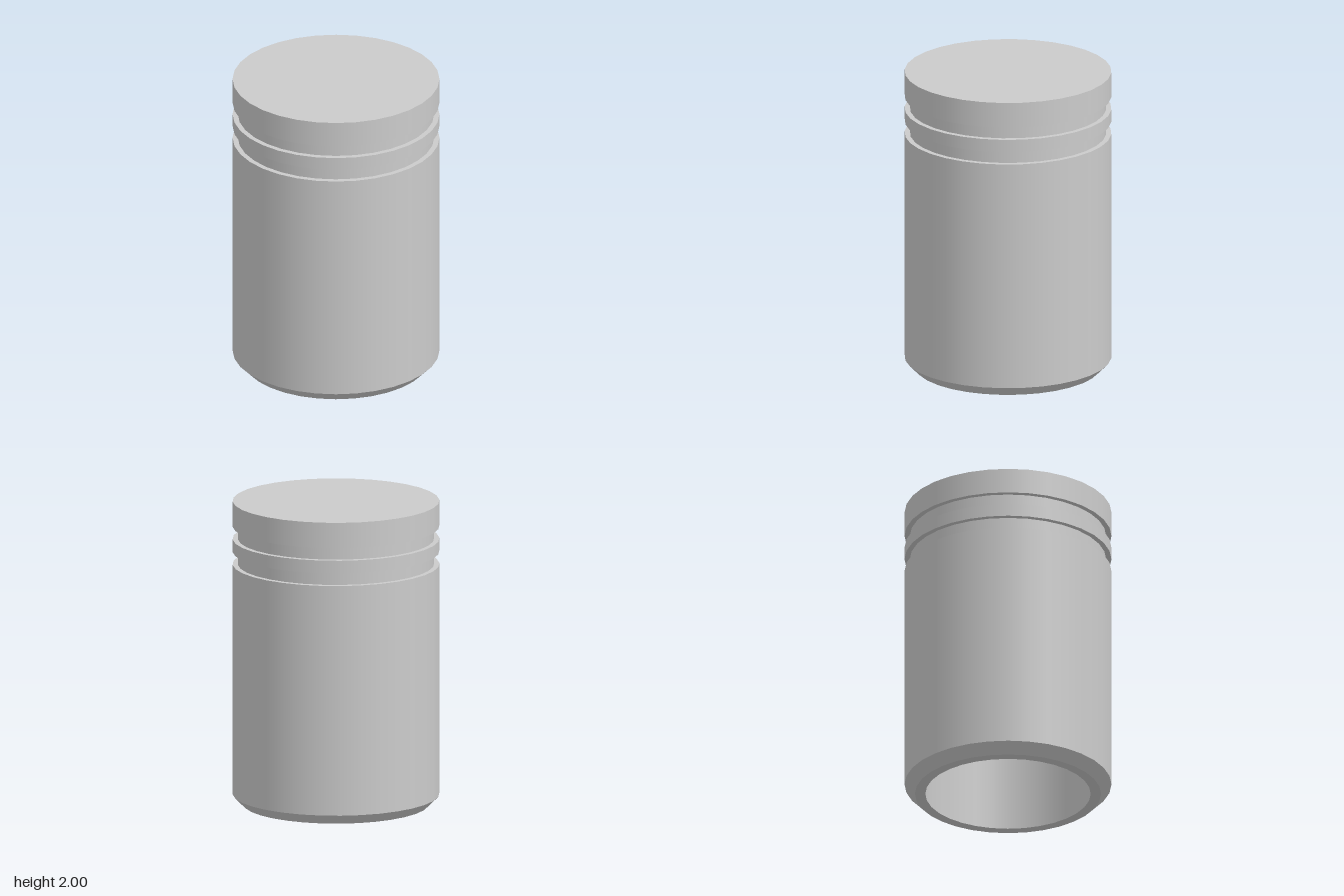
import * as THREE from 'three';

const SIDES = 32;
const R = 0.667, GROOVE = 0.633, BORE = 0.533, RIM = 0.6;

export function createModel() {
  const group = new THREE.Group();
  group.name = 'piston';
  const material = new THREE.MeshStandardMaterial({ color: 0xcccccc });

  // Lathes each straight stretch of a profile separately, so its corners stay sharp
  function addPart(name, profile) {
    const part = new THREE.Group();
    part.name = name;
    const points = profile.map(([r, y]) => new THREE.Vector2(r, y));
    for (let i = 0; i < points.length - 1; i++) {
      const mesh = new THREE.Mesh(new THREE.LatheGeometry([points[i], points[i + 1]], SIDES), material);
      mesh.name = `${name}Surface${i + 1}`;
      part.add(mesh);
    }
    group.add(part);
  }

  // Hollow inside: ceiling and bore wall, open at the bottom
  addPart('bore', [[0, 1.833], [BORE, 1.833], [BORE, 0]]);
  // Flat rim, chamfer and skirt
  addPart('skirt', [[BORE, 0], [RIM, 0], [R, 0.067], [R, 1.583]]);
  // Two ring grooves, each with a lower ledge, floor and upper ledge
  for (const [name, y0, y1] of [['lowerGroove', 1.583, 1.667], ['upperGroove', 1.75, 1.833]]) {
    addPart(name, [[R, y0], [GROOVE, y0], [GROOVE, y1], [R, y1]]);
  }
  // Land between the grooves
  addPart('ringLand', [[R, 1.667], [R, 1.75]]);
  // Crown with flat closed top
  addPart('crown', [[R, 1.833], [R, 2], [0, 2]]);

  return group;
}
